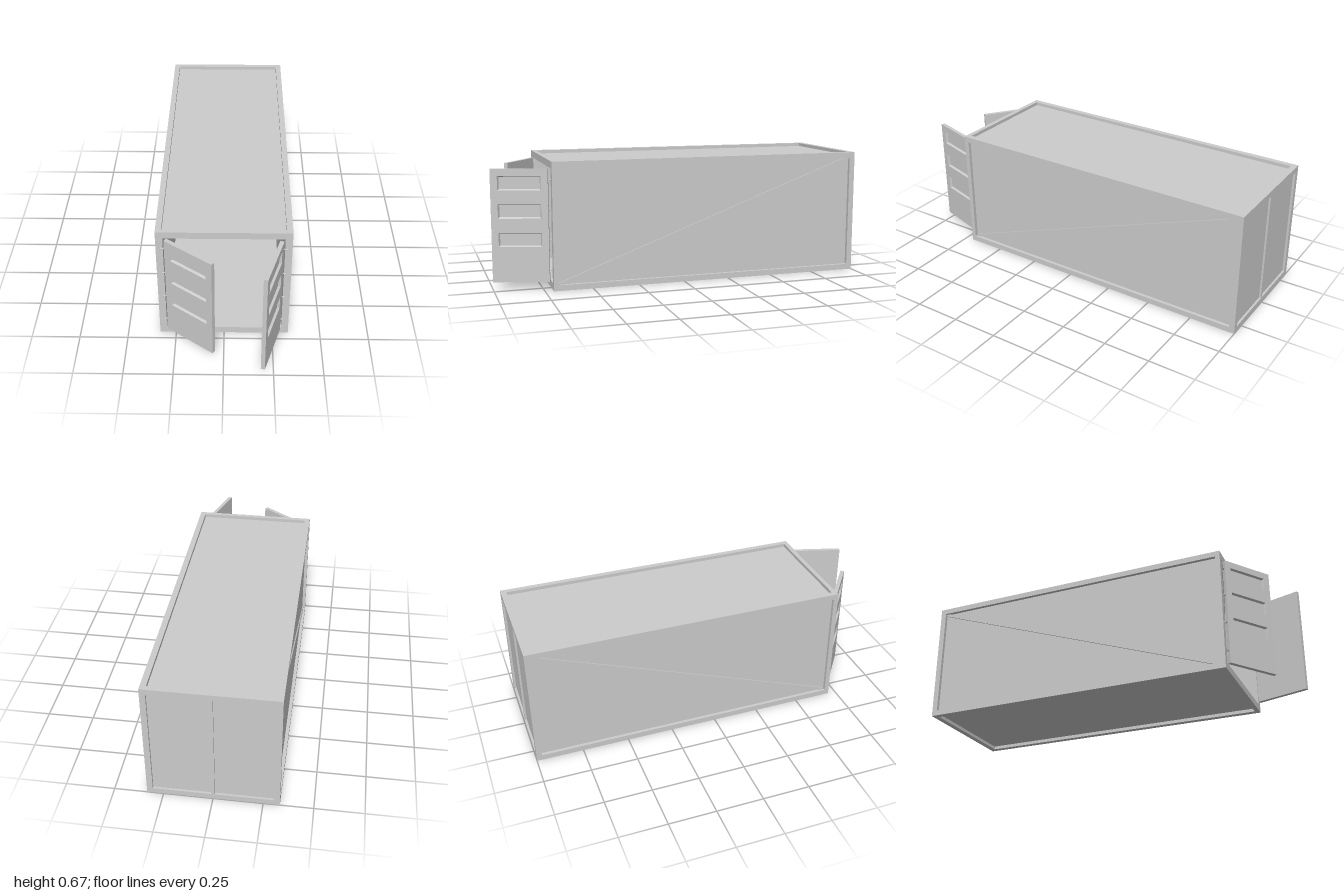
import * as THREE from 'three';

const grey = new THREE.MeshStandardMaterial({ color: 0xcccccc, flatShading: true });
const greyThin = new THREE.MeshStandardMaterial({ color: 0xcccccc, flatShading: true, side: THREE.DoubleSide });

const W = 0.333, H = 0.667, BACK = -1, FRONT = 0.706; // outer limits of the body
const BEAM = 0.03, INSET = 0.018;

// Box given by its two opposite corners
function box(parent, name, [x0, y0, z0], [x1, y1, z1]) {
  const mesh = new THREE.Mesh(new THREE.BoxGeometry(x1 - x0, y1 - y0, z1 - z0), grey);
  mesh.position.set((x0 + x1) / 2, (y0 + y1) / 2, (z0 + z1) / 2);
  mesh.name = name;
  parent.add(mesh);
  return mesh;
}

function rect(target, x0, y0, x1, y1) {
  return target.moveTo(x0, y0).lineTo(x1, y0).lineTo(x1, y1).lineTo(x0, y1).closePath();
}

// Flat plate with rectangular holes, from z = 0 to z = depth
function plate(name, outline, holes, depth) {
  const shape = rect(new THREE.Shape(), ...outline);
  for (const h of holes) shape.holes.push(rect(new THREE.Path(), ...h));
  const mesh = new THREE.Mesh(new THREE.ExtrudeGeometry(shape, { depth, bevelEnabled: false }), grey);
  mesh.name = name;
  return mesh;
}

// Four sloping walls leading down into a sunken rectangle
function slopedRim(name, [x0, y0, x1, y1], inset, depth) {
  const ring = (i, z) => [[x0 + i, y0 + i, z], [x1 - i, y0 + i, z], [x1 - i, y1 - i, z], [x0 + i, y1 - i, z]];
  const outer = ring(0, 0), inner = ring(inset, -depth), index = [];
  for (let i = 0; i < 4; i++) {
    const j = (i + 1) % 4;
    index.push(i, j, j + 4, i, j + 4, i + 4);
  }
  const geo = new THREE.BufferGeometry();
  geo.setAttribute('position', new THREE.Float32BufferAttribute([...outer, ...inner].flat(), 3));
  geo.setIndex(index);
  const flat = geo.toNonIndexed();
  flat.computeVertexNormals();
  const mesh = new THREE.Mesh(flat, greyThin);
  mesh.name = name;
  return mesh;
}

// Door leaf: hinge edge at x = 0, outer face at z = 0, with three sunken panels
function makeDoor(name, side, angle) {
  const w = 0.293, h = 0.588, thick = 0.021, sunk = 0.012;
  const door = new THREE.Group();
  door.name = name;
  const leaf = new THREE.Group();
  leaf.name = 'doorLeaf';
  leaf.position.x = side > 0 ? -w : 0;
  const holes = [0.185, 0.332, 0.478].map(y => [0.036, y, w - 0.036, y + 0.074]);
  const face = plate('doorFace', [0, 0, w, h], holes, sunk);
  face.position.z = -sunk;
  leaf.add(face);
  box(leaf, 'doorBacking', [0, 0, -thick], [w, h, -sunk]);
  for (const hole of holes) leaf.add(slopedRim('doorPanelRim', hole, 0.006, sunk));
  door.add(leaf);
  door.position.set(side * 0.291, 0.04, 0.72);
  door.rotation.y = side * angle;
  return door;
}

export function createModel() {
  const model = new THREE.Group();
  model.name = 'container';

  // Frame beams along the length, and posts and crossbars at the back
  const frame = new THREE.Group();
  frame.name = 'frame';
  model.add(frame);
  for (const s of [-1, 1]) {
    const xa = s > 0 ? W - BEAM : -W, xb = xa + BEAM;
    for (const y of [0, H - BEAM]) box(frame, 'longBeam', [xa, y, BACK], [xb, y + BEAM, FRONT]);
    box(frame, 'backPost', [xa, BEAM, BACK], [xb, H - BEAM, BACK + BEAM]);
  }
  for (const y of [0, H - BEAM]) {
    box(frame, 'backCrossbar', [-W + BEAM, y, BACK], [W - BEAM, y + BEAM, BACK + BEAM]);
  }
  box(frame, 'backCentrePost', [-0.009, BEAM, BACK + 0.002], [0.009, H - BEAM, BACK + BEAM]);

  // Front frame around the doorway
  const doorway = plate('doorFrame', [-W, 0, W, H], [[-0.297, 0.037, 0.297, 0.63]], 0.025);
  doorway.position.z = FRONT - 0.025;
  frame.add(doorway);

  // Recessed walls, roof and floor
  const zf = FRONT - 0.01, zb = BACK + 0.012;
  for (const s of [-1, 1]) {
    const x0 = s > 0 ? 0.297 : -W + INSET;
    box(model, 'sideWall', [x0, 0.02, zb], [x0 + W - INSET - 0.297, H - 0.02, zf]);
  }
  box(model, 'backWall', [-0.31, 0.02, BACK + 0.012], [0.31, H - 0.02, BACK + 0.034]);
  box(model, 'roof', [-0.31, 0.63, zb], [0.31, H - INSET, zf]);
  box(model, 'floor', [-0.31, INSET, zb], [0.31, 0.037, zf]);

  // Diagonal brace on each side, from low at the front to high at the back
  const dy = H - 2 * BEAM, dz = FRONT - BACK - 2 * BEAM;
  for (const s of [-1, 1]) {
    const brace = new THREE.Mesh(new THREE.BoxGeometry(0.008, 0.018, Math.hypot(dy, dz)), grey);
    brace.name = 'diagonalBrace';
    brace.position.set(s * (W - INSET + 0.003), H / 2, (FRONT + BACK) / 2);
    brace.rotation.x = Math.atan2(dy, dz);
    model.add(brace);
  }

  // Doors standing open, the left one wider
  model.add(makeDoor('rightDoor', -1, THREE.MathUtils.degToRad(36.5)));
  model.add(makeDoor('leftDoor', 1, THREE.MathUtils.degToRad(73)));

  // Small curved hinges
  const hingeGeo = new THREE.TorusGeometry(0.008, 0.003, 6, 8, Math.PI).rotateX(Math.PI / 2);
  for (const s of [-1, 1]) {
    for (const y of [0.104, 0.262, 0.417, 0.573]) {
      const hinge = new THREE.Mesh(hingeGeo, grey);
      hinge.name = 'hinge';
      hinge.position.set(s * 0.3, y, FRONT);
      model.add(hinge);
    }
  }
  return model;
}
